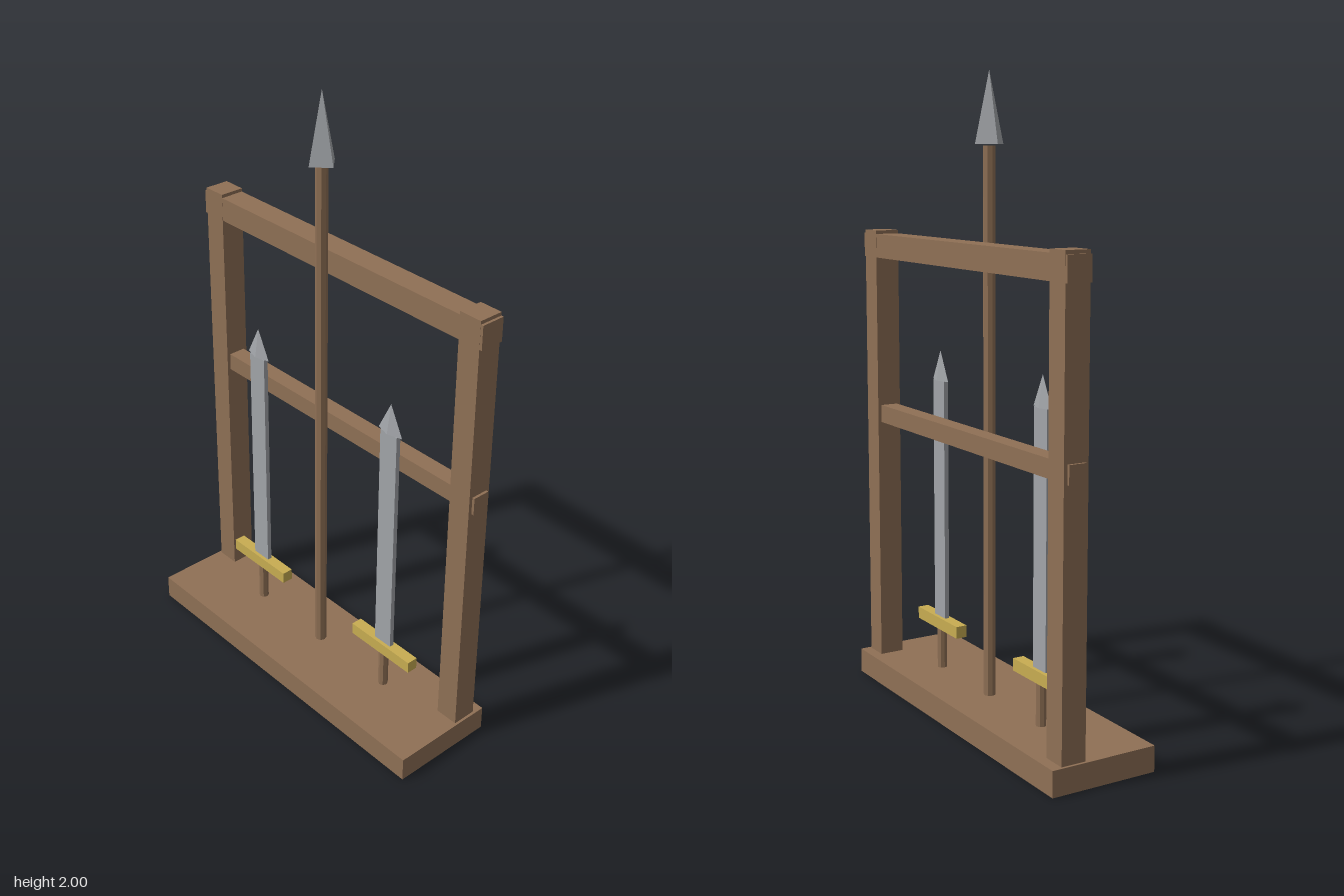
import * as THREE from 'three';

const material = (name, color) => {
  const m = new THREE.MeshStandardMaterial({ color, flatShading: true });
  m.name = name;
  return m;
};

export function createModel() {
  const wood = material('wood', 0x8f7055);
  const steel = material('steel', 0xa2a5a9);
  const brass = material('brass', 0xc8ad52);
  const rack = new THREE.Group();
  rack.name = 'weaponRack';

  const add = (parent, name, geometry, mat, x, y, z) => {
    const mesh = new THREE.Mesh(geometry, mat);
    mesh.name = name;
    mesh.position.set(x, y, z);
    parent.add(mesh);
    return mesh;
  };
  const box = (w, h, d) => new THREE.BoxGeometry(w, h, d);
  const rod = (r, h) => new THREE.CylinderGeometry(r, r, h, 8);

  // Base and frame
  add(rack, 'base', box(1.2, 0.08, 0.35), wood, 0, 0.04, 0);
  for (const side of [-1, 1]) {
    add(rack, side > 0 ? 'leftPost' : 'rightPost', box(0.077, 1.43, 0.08), wood, side * 0.553, 0.795, -0.1);
  }
  add(rack, 'topRail', box(1.2, 0.076, 0.079), wood, 0, 1.461, -0.1);
  add(rack, 'middleRail', box(1.2, 0.057, 0.057), wood, 0, 0.908, -0.1);

  // Spear standing in the centre
  const spear = new THREE.Group();
  spear.name = 'spear';
  spear.position.z = -0.02;
  add(spear, 'spearShaft', rod(0.019, 1.7), wood, 0, 0.93, 0);
  add(spear, 'spearHead', new THREE.ConeGeometry(0.049, 0.215, 4), steel, 0, 1.8925, 0);
  rack.add(spear);

  // Two swords, points up
  for (const side of [-1, 1]) {
    const sword = new THREE.Group();
    sword.name = side > 0 ? 'leftSword' : 'rightSword';
    sword.position.set(side * 0.302, 0, -0.022);
    add(sword, 'grip', rod(0.016, 0.135), wood, 0, 0.1475, 0);
    add(sword, 'guard', box(0.258, 0.039, 0.037), brass, 0, 0.234, 0);
    add(sword, 'blade', box(0.069, 0.785, 0.015), steel, 0, 0.6465, 0);
    add(sword, 'bladeTip', new THREE.ConeGeometry(0.049, 0.097, 4).scale(1, 1, 0.3), steel, 0, 1.0875, 0);
    rack.add(sword);
  }
  return rack;
}
